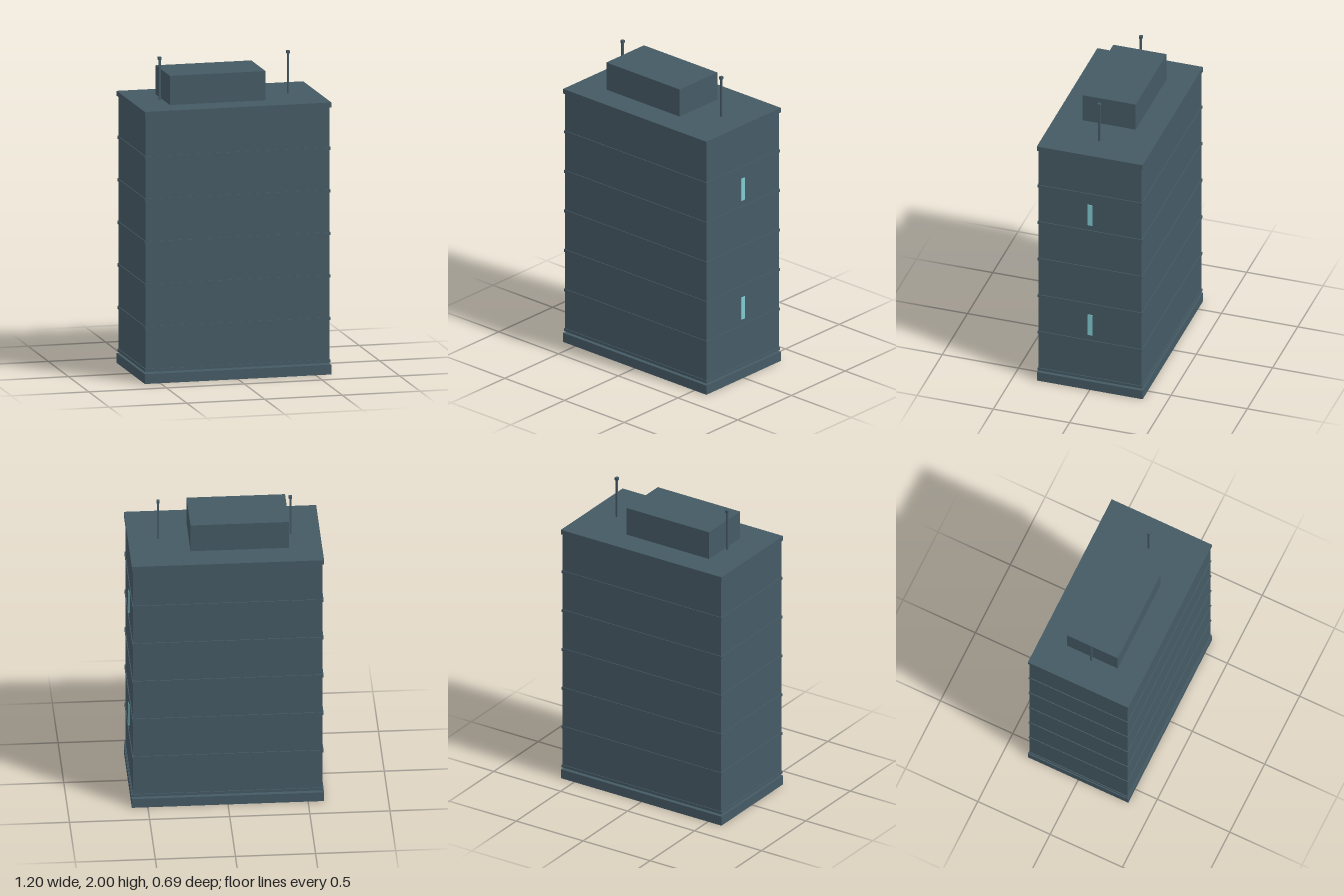
import * as THREE from 'three';

export function createModel() {
  const model = new THREE.Group();
  model.name = 'towerBlock';

  const wall = new THREE.MeshStandardMaterial({ color: 0x455a64 });
  wall.name = 'slate wall';
  const glass = new THREE.MeshStandardMaterial({ color: 0x80cbd0 });
  glass.name = 'pale glass';

  // Box given by its centre in x and z, its bottom and its top
  function block(name, material, width, bottom, top, depth, x = 0, z = 0, parent = model) {
    const mesh = new THREE.Mesh(new THREE.BoxGeometry(width, top - bottom, depth), material);
    mesh.position.set(x, (bottom + top) / 2, z);
    mesh.name = name;
    parent.add(mesh);
    return mesh;
  }

  // Plinth, separated from the tower by a narrow shadow gap
  block('plinth', wall, 1.2, 0, 0.062, 0.694);
  block('towerBody', wall, 1.184, 0.073, 1.696, 0.676);

  // Thin ledge at every storey
  for (let i = 0; i < 6; i++) {
    const y = 0.084 + i * 0.27;
    block('storeyLedge' + (i + 1), wall, 1.194, y - 0.009, y + 0.009, 0.686);
  }

  // Roof slab and plant room
  block('roofSlab', wall, 1.2, 1.696, 1.727, 0.694);
  block('plantRoom', wall, 0.615, 1.727, 1.912, 0.35, -0.086, -0.001);

  // Slim windows on the left side wall
  for (const y of [0.4, 1.21]) {
    block('window', glass, 0.008, y, y + 0.15, 0.032, 0.592);
  }

  // Antennas with a small block at the tip
  for (const x of [-0.414, 0.412]) {
    const antenna = new THREE.Group();
    antenna.name = 'antenna';
    block('mast', wall, 0.012, 1.727, 1.984, 0.012, x, 0, antenna);
    block('mastTip', wall, 0.02, 1.982, 2, 0.02, x, 0, antenna);
    model.add(antenna);
  }

  return model;
}
